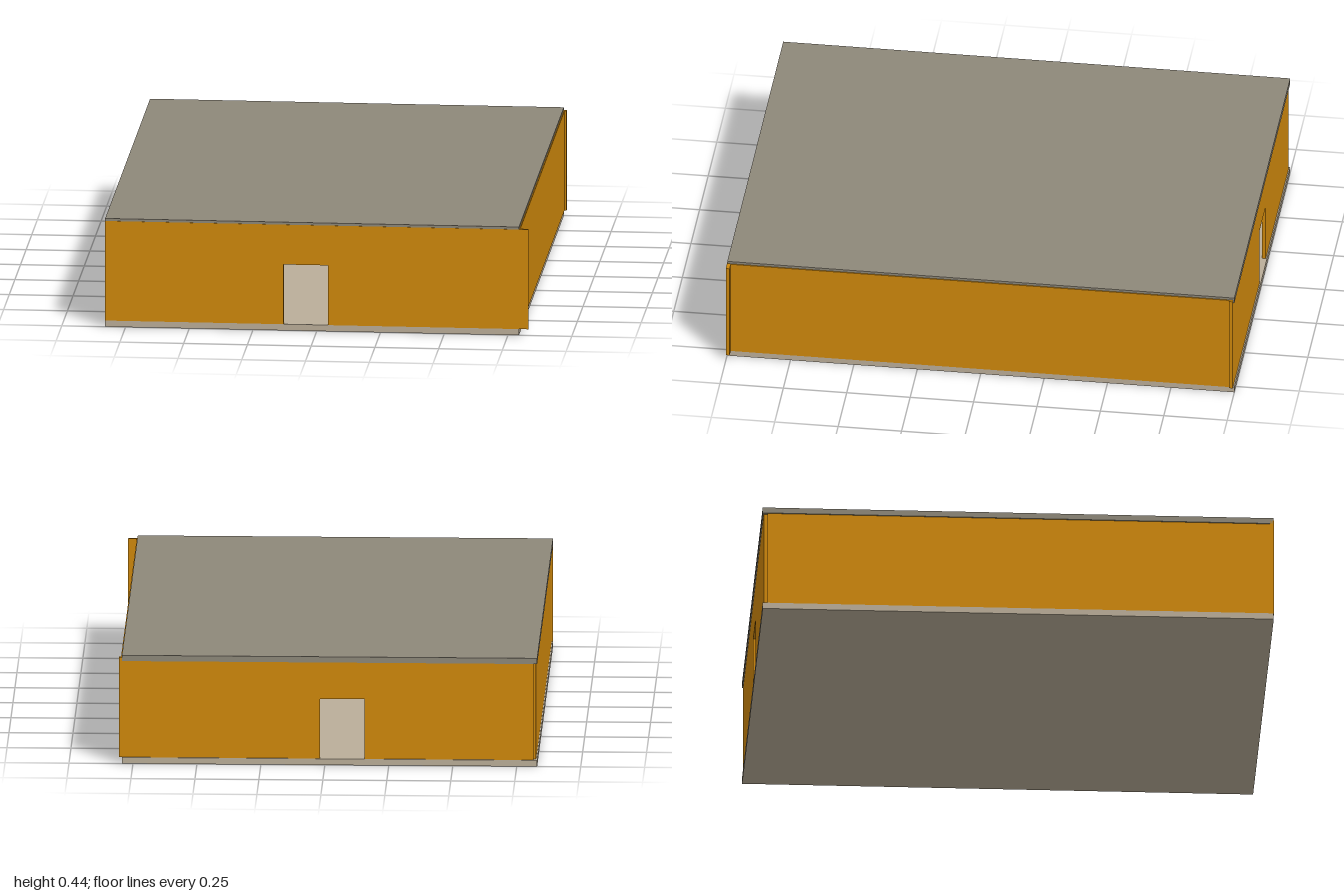
import * as THREE from 'three';

const orange = new THREE.MeshStandardMaterial({ color: 0xcf880c });
orange.name = 'orange wall paint';
const beige = new THREE.MeshStandardMaterial({ color: 0xbbae99 });
beige.name = 'beige floor';
const taupe = new THREE.MeshStandardMaterial({ color: 0x8e887a });
taupe.name = 'taupe roof';

const FLOOR_TOP = 0.025, WALL_TOP = 0.425, DOOR_TOP = 0.265;

// Box given by its minimum and maximum corners
function slab(name, material, [x0, y0, z0], [x1, y1, z1]) {
  const mesh = new THREE.Mesh(new THREE.BoxGeometry(x1 - x0, y1 - y0, z1 - z0), material);
  mesh.position.set((x0 + x1) / 2, (y0 + y1) / 2, (z0 + z1) / 2);
  mesh.name = name;
  return mesh;
}

// Wall along x with a doorway cut up from its lower edge
function doorWall(name, x0, x1, door0, door1, z0, z1) {
  const outline = [
    [x0, FLOOR_TOP], [door0, FLOOR_TOP], [door0, DOOR_TOP], [door1, DOOR_TOP],
    [door1, FLOOR_TOP], [x1, FLOOR_TOP], [x1, WALL_TOP], [x0, WALL_TOP],
  ].map(([x, y]) => new THREE.Vector2(x, y));
  const geometry = new THREE.ExtrudeGeometry(new THREE.Shape(outline), {
    depth: z1 - z0, bevelEnabled: false,
  });
  const mesh = new THREE.Mesh(geometry, orange);
  mesh.position.z = z0;
  mesh.name = name;
  return mesh;
}

export function createModel() {
  const group = new THREE.Group();
  group.name = 'flat roofed hall';
  group.add(
    // Floor and roof slabs
    slab('floor', beige, [-0.83, 0, -1], [0.793, FLOOR_TOP, 0.999]),
    slab('roof', taupe, [-0.83, 0.412, -1], [0.793, 0.435, 0.999]),
    // End walls, each with a doorway; the front one runs past the side wall
    doorWall('frontWall', -0.83, 0.83, -0.13, 0.045, 0.985, 1),
    doorWall('backWall', -0.815, 0.805, -0.155, 0.02, -0.995, -0.98),
    // Plain side walls
    slab('leftWall', orange, [0.782, FLOOR_TOP, -0.98], [0.797, WALL_TOP, 0.985]),
    slab('rightWall', orange, [-0.825, FLOOR_TOP, -0.98], [-0.81, WALL_TOP, 0.985]),
  );
  return group;
}
